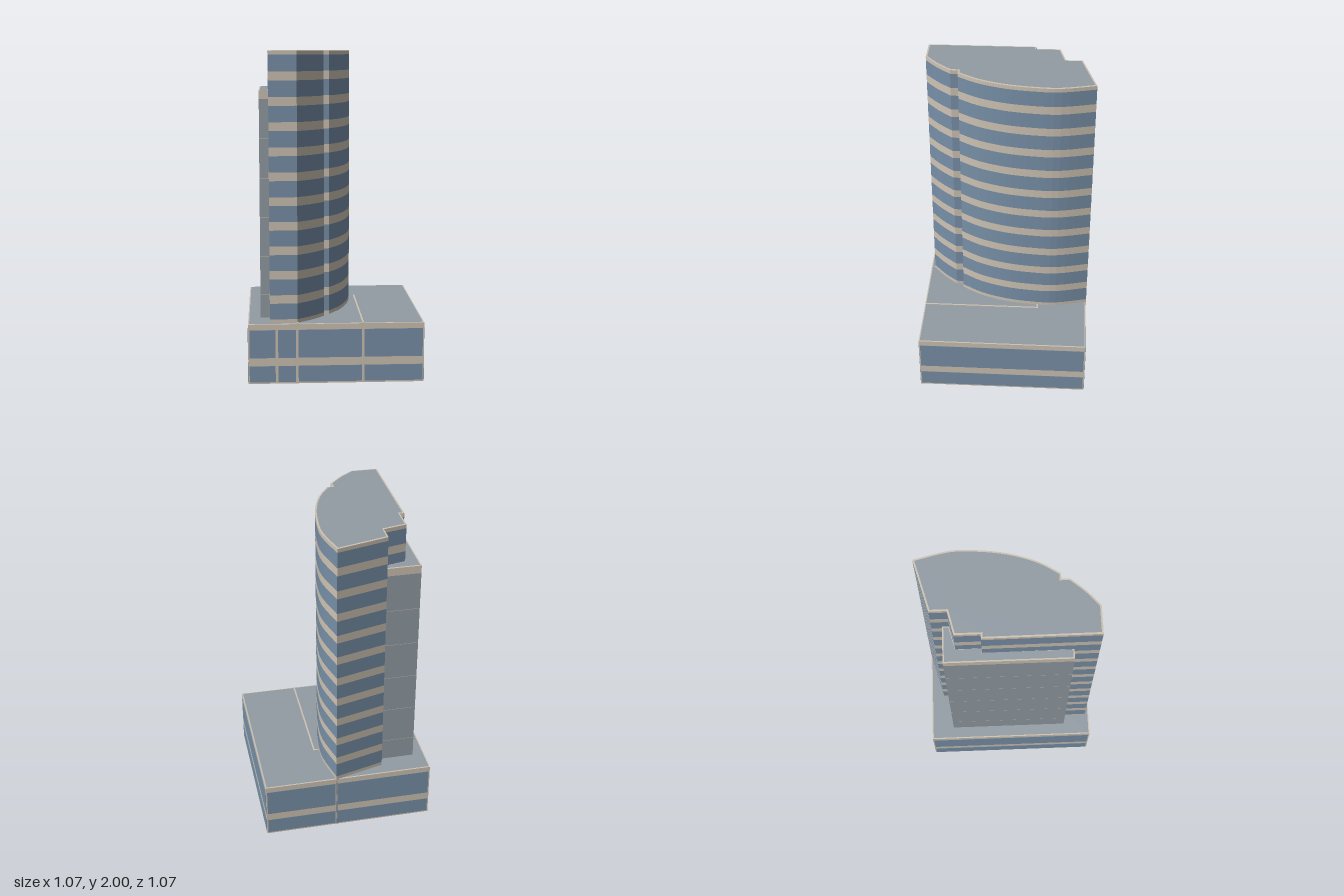
import * as THREE from 'three';

const mat = (name, color) => {
  const m = new THREE.MeshStandardMaterial({ color, side: THREE.DoubleSide });
  m.name = name;
  return m;
};

// Vertical walls along a closed outline of [x, z] points, one strip per [low, high] pair
function wallGeometry(outline, strips) {
  const pos = [];
  for (const [lo, hi] of strips) {
    outline.forEach(([ax, az], i) => {
      const [bx, bz] = outline[(i + 1) % outline.length];
      pos.push(ax, lo, az, bx, lo, bz, bx, hi, bz);
      pos.push(ax, lo, az, bx, hi, bz, ax, hi, az);
    });
  }
  const g = new THREE.BufferGeometry();
  g.setAttribute('position', new THREE.Float32BufferAttribute(pos, 3));
  g.computeVertexNormals();
  return g;
}

// Flat horizontal plate filling an outline
function plateGeometry(outline, y) {
  const shape = new THREE.Shape(outline.map(([x, z]) => new THREE.Vector2(x, -z)));
  return new THREE.ShapeGeometry(shape).rotateX(-Math.PI / 2).translate(0, y, 0);
}

// Outline moved inwards by t with mitred corners
function inset(outline, t) {
  const n = outline.length;
  const normal = (a, b) => {
    const dx = b[0] - a[0], dz = b[1] - a[1], l = Math.hypot(dx, dz);
    return [-dz / l, dx / l];
  };
  return outline.map((p, i) => {
    const u = normal(outline[(i + n - 1) % n], p);
    const v = normal(p, outline[(i + 1) % n]);
    const k = t / Math.max(0.4, 1 + u[0] * v[0] + u[1] * v[1]);
    return [p[0] - (u[0] + v[0]) * k, p[1] - (u[1] + v[1]) * k];
  });
}

// Smooth run of points through a few control points
const curve = (pts, n) =>
  new THREE.SplineCurve(pts.map(([x, z]) => new THREE.Vector2(x, z)))
    .getPoints(n).map((p) => [p.x, p.y]);

export function createModel() {
  const glass = mat('blue glass', 0x7890a8);
  const stone = mat('beige stone', 0xcec3b4);
  const grey = mat('grey roof', 0x929ca4);

  const model = new THREE.Group();
  model.name = 'officeTower';
  const group = (name) => {
    const g = new THREE.Group();
    g.name = name;
    model.add(g);
    return g;
  };
  const add = (parent, name, geometry, material) => {
    const m = new THREE.Mesh(geometry, material);
    m.name = name;
    parent.add(m);
    return m;
  };
  const box = (parent, name, material, x0, x1, y0, y1, z0, z1) =>
    add(parent, name, new THREE.BoxGeometry(x1 - x0, y1 - y0, z1 - z0), material)
      .position.set((x0 + x1) / 2, (y0 + y1) / 2, (z0 + z1) / 2);
  const roof = (parent, outline, y, border) => {
    add(parent, 'roofEdge', plateGeometry(outline, y - 0.002), stone);
    add(parent, 'roof', plateGeometry(inset(outline, border), y), grey);
  };

  // Podium: open below, with glass plates on all four sides
  const podium = group('podium');
  const H = 0.37, R = 0.533;
  const square = [[R, -R], [-R, -R], [-R, R], [R, R]];
  add(podium, 'podiumWalls', wallGeometry(square, [[0, H - 0.002]]), stone);
  roof(podium, square, H, 0.007);
  const rows = [[0.01, 0.11], [0.16, 0.333]];
  const sides = [
    ['front', 0, [-0.36, -0.237, 0.162]],
    ['left', Math.PI / 2, []],
    ['back', Math.PI, [-0.08]],
    ['right', -Math.PI / 2, []],
  ];
  for (const [name, angle, mullions] of sides) {
    const side = new THREE.Group();
    side.name = name + 'Glazing';
    side.rotation.y = angle;
    podium.add(side);
    const stops = [-R, ...mullions, R];
    for (let i = 0; i + 1 < stops.length; i++) {
      for (const [lo, hi] of rows) {
        box(side, 'podiumWindow', glass, stops[i] + 0.008, stops[i + 1] - 0.008, lo, hi, R - 0.002, R + 0.002);
      }
    }
  }

  // Inner partition below the podium roof and the joint lines above it
  for (const [lo, hi] of rows) {
    box(podium, 'partitionGlass', glass, 0.158, 0.166, lo, hi, -0.21, 0.53);
  }
  box(podium, 'partition', stone, 0.158, 0.164, 0, H - 0.003, -0.215, 0.53);
  box(podium, 'roofJoint', stone, 0.157, 0.167, H - 0.004, H + 0.004, -0.218, 0.53);
  box(podium, 'roofJoint', stone, 0.12, 0.167, H - 0.004, H + 0.004, -0.218, -0.208);
  box(podium, 'roofJoint', stone, -0.238, -0.229, H - 0.004, H + 0.004, 0.5, 0.53);

  // Tower: stepped on its left, bowed on its right, with a notch in the bow
  const tower = group('tower');
  const outline = [
    [0.08, -0.535], [-0.234, -0.45], [-0.234, -0.348], [-0.376, -0.314],
    [-0.376, -0.165], [-0.403, -0.165], [-0.4, 0.507],
    ...curve([[-0.233, 0.507], [-0.145, 0.432], [-0.066, 0.342]], 6),
    [-0.066, 0.293],
    ...curve([[-0.032, 0.293], [0.045, 0.165], [0.1, 0], [0.125, -0.17], [0.127, -0.33], [0.08, -0.535]], 20).slice(0, -1),
  ];
  const top = 2, pitch = 0.1485, half = 0.026;
  const stoneRows = [[1.974, top - 0.002]], glassRows = [];
  let upper = 1.974;
  for (let c = 1.8515; c > 0; c -= pitch) {
    stoneRows.push([c - half, c + half]);
    glassRows.push([c + half, upper]);
    upper = c - half;
  }
  glassRows.push([0, upper]);
  add(tower, 'floorBands', wallGeometry(outline, stoneRows), stone);
  add(tower, 'windowBands', wallGeometry(outline, glassRows), glass);
  roof(tower, outline, top, 0.01);

  // Blank service slab wrapped around the left side, with a beige coping
  const slab = group('serviceSlab');
  const slabTop = 1.762;
  const slabLine = [[-0.236, -0.388], [-0.457, -0.388], [-0.457, 0.36], [-0.395, 0.36], [-0.395, -0.16], [-0.37, -0.16], [-0.37, -0.31], [-0.236, -0.345]];
  const slabStone = [[1.71, slabTop - 0.002]], slabGrey = [];
  let y = 1.71;
  while (y > 0.3) {
    slabGrey.push([y - 0.237, y]);
    slabStone.push([y - 0.24, y - 0.237]);
    y -= 0.24;
  }
  slabGrey.push([0, y]);
  add(slab, 'slabBands', wallGeometry(slabLine, slabStone), stone);
  add(slab, 'slabWalls', wallGeometry(slabLine, slabGrey), grey);
  roof(slab, slabLine, slabTop, 0.008);

  return model;
}
